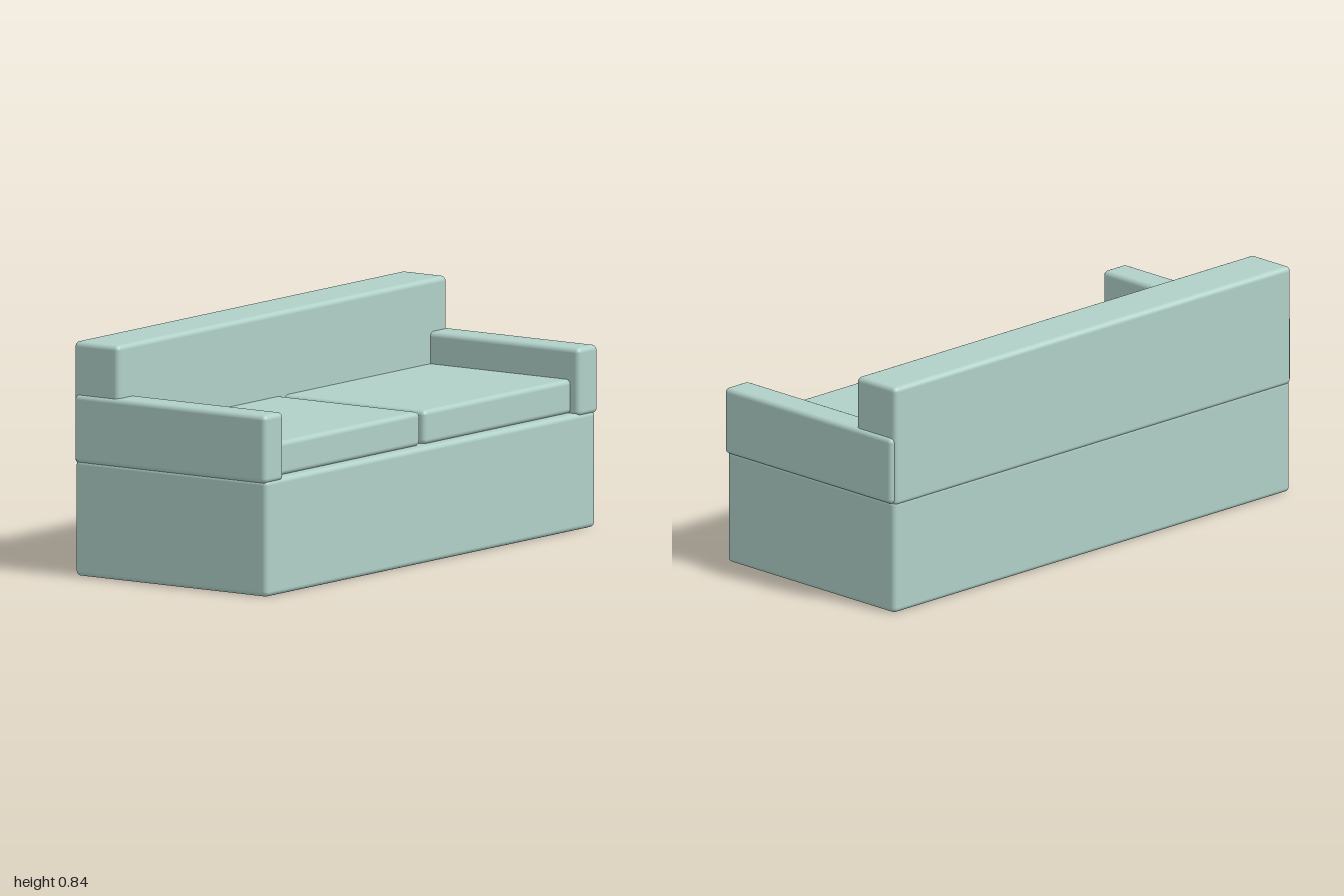
import * as THREE from 'three';
import { RoundedBoxGeometry } from 'three/addons/geometries/RoundedBoxGeometry.js';

export function createModel() {
  const sofa = new THREE.Group();
  sofa.name = 'sofa';

  const fabric = new THREE.MeshStandardMaterial({ color: 0xb0d0c8 });
  fabric.name = 'pale sage fabric';

  // Soft-edged block given by its extents on each axis
  function block(name, [x0, x1], [y0, y1], [z0, z1], radius = 0.018) {
    const geometry = new RoundedBoxGeometry(x1 - x0, y1 - y0, z1 - z0, 4, radius);
    const mesh = new THREE.Mesh(geometry, fabric);
    mesh.name = name;
    mesh.position.set((x0 + x1) / 2, (y0 + y1) / 2, (z0 + z1) / 2);
    sofa.add(mesh);
  }

  // Base and backrest share the same width
  const width = [-0.99, 0.986];
  block('base', width, [0, 0.416], [-0.417, 0.422]);
  block('backrest', width, [0.4, 0.838], [-0.422, -0.226]);

  // Arms overhang the base slightly at the sides
  block('rightArm', [-1, -0.886], [0.406, 0.65], [-0.415, 0.423]);
  block('leftArm', [0.882, 1], [0.406, 0.65], [-0.415, 0.423]);

  // Two seat cushions, tucked under the arms and backrest
  block('rightCushion', [-0.91, -0.014], [0.414, 0.536], [-0.25, 0.385]);
  block('leftCushion', [0.009, 0.906], [0.414, 0.536], [-0.25, 0.385]);

  return sofa;
}
